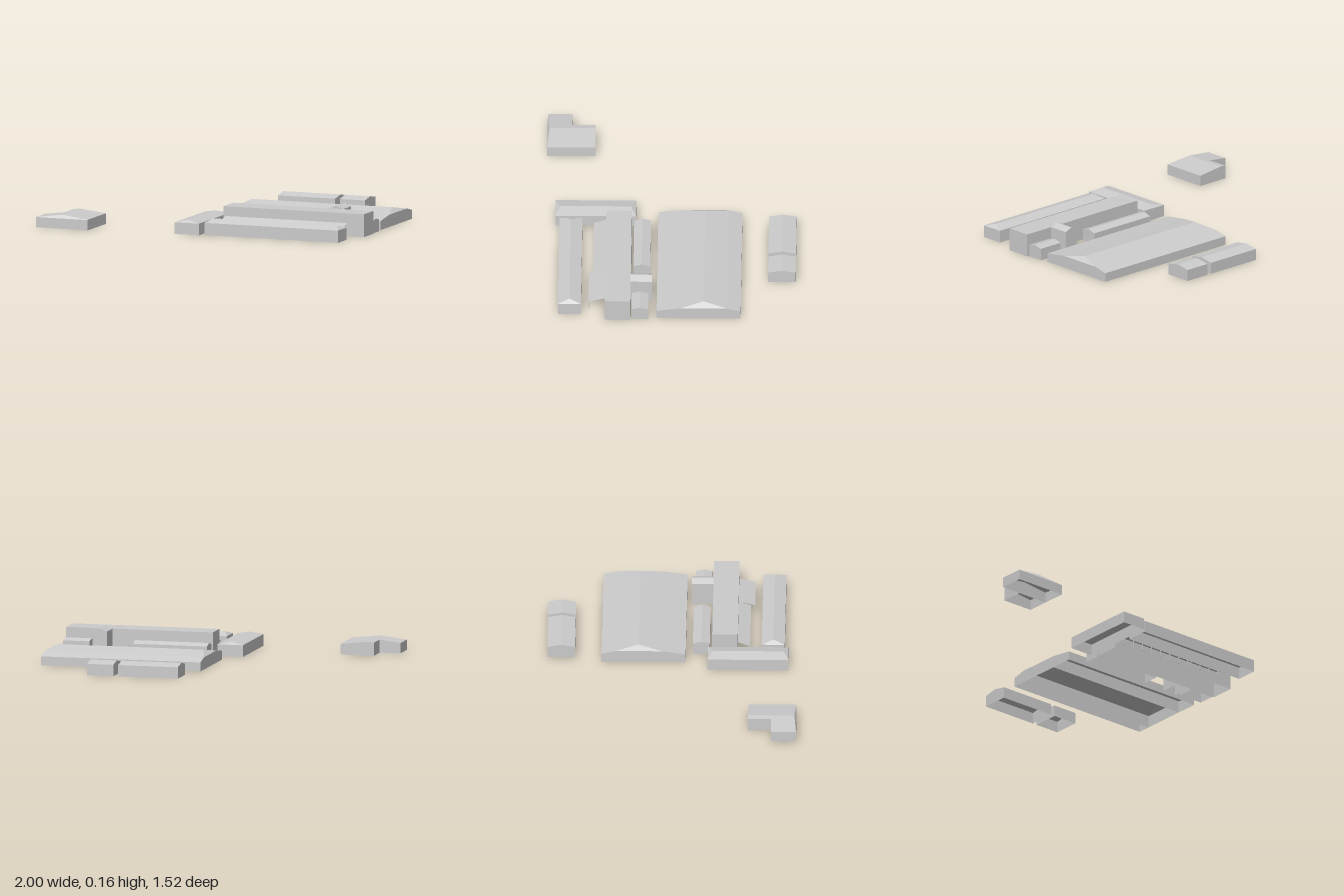
import * as THREE from 'three';

const material = new THREE.MeshStandardMaterial({ color: 0xcccccc, flatShading: true, side: THREE.DoubleSide });

// Bottomless building: a roof profile of [across, height] points swept along x or z.
// hipStart / hipEnd are the lengths over which the ridge slopes down at each end.
function shell(name, axis, from, to, profile, hipStart = 0, hipEnd = hipStart) {
  const eave = Math.min(profile[0][1], profile[profile.length - 1][1]);
  const full = profile.map(p => p[1]);
  const low = full.map(y => Math.min(y, eave));
  const stations = [];
  if (hipStart) stations.push([from, low]);
  stations.push([from + hipStart, full], [to - hipEnd, full]);
  if (hipEnd) stations.push([to, low]);

  const positions = [];
  const point = (s, i, ground) => {
    const a = stations[s][0], u = profile[i][0], y = ground ? 0 : stations[s][1][i];
    return axis === 'x' ? [a, y, u] : [u, y, a];
  };
  const tri = (a, b, c) => positions.push(...a, ...(axis === 'x' ? b : c), ...(axis === 'x' ? c : b));
  const quad = (a, b, c, d) => {
    // split along the hip line so that hips and slopes stay flat
    if (Math.abs(a[1] - c[1]) >= Math.abs(b[1] - d[1])) { tri(a, b, c); tri(a, c, d); }
    else { tri(a, b, d); tri(b, c, d); }
  };

  const last = profile.length - 1, end = stations.length - 1;
  for (let s = 0; s < end; s++) {
    // roof planes
    for (let i = 0; i < last; i++) quad(point(s, i), point(s, i + 1), point(s + 1, i + 1), point(s + 1, i));
    // long walls
    quad(point(s, 0, true), point(s, 0), point(s + 1, 0), point(s + 1, 0, true));
    quad(point(s + 1, last, true), point(s + 1, last), point(s, last), point(s, last, true));
  }
  // end walls
  for (let i = 0; i < last; i++) {
    quad(point(0, i, true), point(0, i + 1, true), point(0, i + 1), point(0, i));
    quad(point(end, i + 1, true), point(end, i, true), point(end, i), point(end, i + 1));
  }
  const geometry = new THREE.BufferGeometry();
  geometry.setAttribute('position', new THREE.Float32BufferAttribute(positions, 3));
  geometry.computeVertexNormals();
  const mesh = new THREE.Mesh(geometry, material);
  mesh.name = name;
  return mesh;
}

const gable = (u0, u1, eave, ridge) => [[u0, eave], [(u0 + u1) / 2, ridge], [u1, eave]];

// Lean-to canopy on slim posts
function canopy(x0, x1, z0, z1, high, low) {
  const group = new THREE.Group();
  group.name = 'canopy';
  const run = z1 - z0, drop = high - low;
  const roof = new THREE.Mesh(new THREE.PlaneGeometry(x1 - x0, Math.hypot(run, drop)), material);
  roof.name = 'canopyRoof';
  roof.rotation.x = -Math.PI / 2 + Math.atan2(drop, run);
  roof.position.set((x0 + x1) / 2, (high + low) / 2, (z0 + z1) / 2);
  group.add(roof);
  const count = Math.round((x1 - x0) / 0.07);
  for (let i = 0; i <= count; i++) {
    const post = new THREE.Mesh(new THREE.BoxGeometry(0.005, low, 0.005), material);
    post.name = 'canopyPost';
    post.position.set(x0 + 0.003 + (x1 - x0 - 0.006) * i / count, low / 2, z1 - 0.003);
    group.add(post);
  }
  return group;
}

export function createModel() {
  const model = new THREE.Group();
  model.name = 'buildingComplex';
  model.add(
    // large hall with side aisles
    shell('hallNave', 'x', -0.02, 0.98, gable(-0.35, -0.07, 0.075, 0.1), 0.04),
    shell('hallFrontAisle', 'x', -0.02, 0.98, [[-0.07, 0.075], [0.075, 0.055]]),
    shell('hallRearAisle', 'x', -0.02, 0.98, [[-0.435, 0.055], [-0.35, 0.075]]),
    // rear sheds
    shell('rearShedLong', 'x', 0.035, 0.41, gable(-0.765, -0.597, 0.07, 0.085)),
    shell('rearShedShort', 'x', 0.44, 0.605, gable(-0.765, -0.597, 0.07, 0.085)),
    // main block with its rear annexes
    shell('mainBlock', 'x', 0.08, 1, [[0.235, 0.14], [0.39, 0.14]]),
    shell('annexTower', 'z', 0.105, 0.235, gable(0.71, 0.8, 0.14, 0.16)),
    shell('annexLong', 'x', 0.085, 0.55, gable(0.118, 0.22, 0.07, 0.085)),
    shell('annexShort', 'x', 0.825, 0.99, gable(0.125, 0.227, 0.073, 0.085)),
    // canopies along the front of the main block
    canopy(0.09, 0.6, 0.39, 0.465, 0.08, 0.055),
    canopy(0.6, 0.89, 0.39, 0.49, 0.08, 0.055),
    // front and side wings
    shell('frontWing', 'x', 0.07, 0.945, gable(0.535, 0.675, 0.075, 0.095), 0.03),
    shell('sideWing', 'z', 0.21, 0.7, gable(-0.115, 0.045, 0.072, 0.088), 0.03),
    // detached house
    shell('houseFront', 'z', 0.605, 0.757, [[-1, 0.063], [-0.83, 0.085], [-0.66, 0.065]], 0, 0.012),
    shell('houseRear', 'z', 0.465, 0.605, [[-0.87, 0.08], [-0.83, 0.085], [-0.66, 0.065]])
  );
  return model;
}
